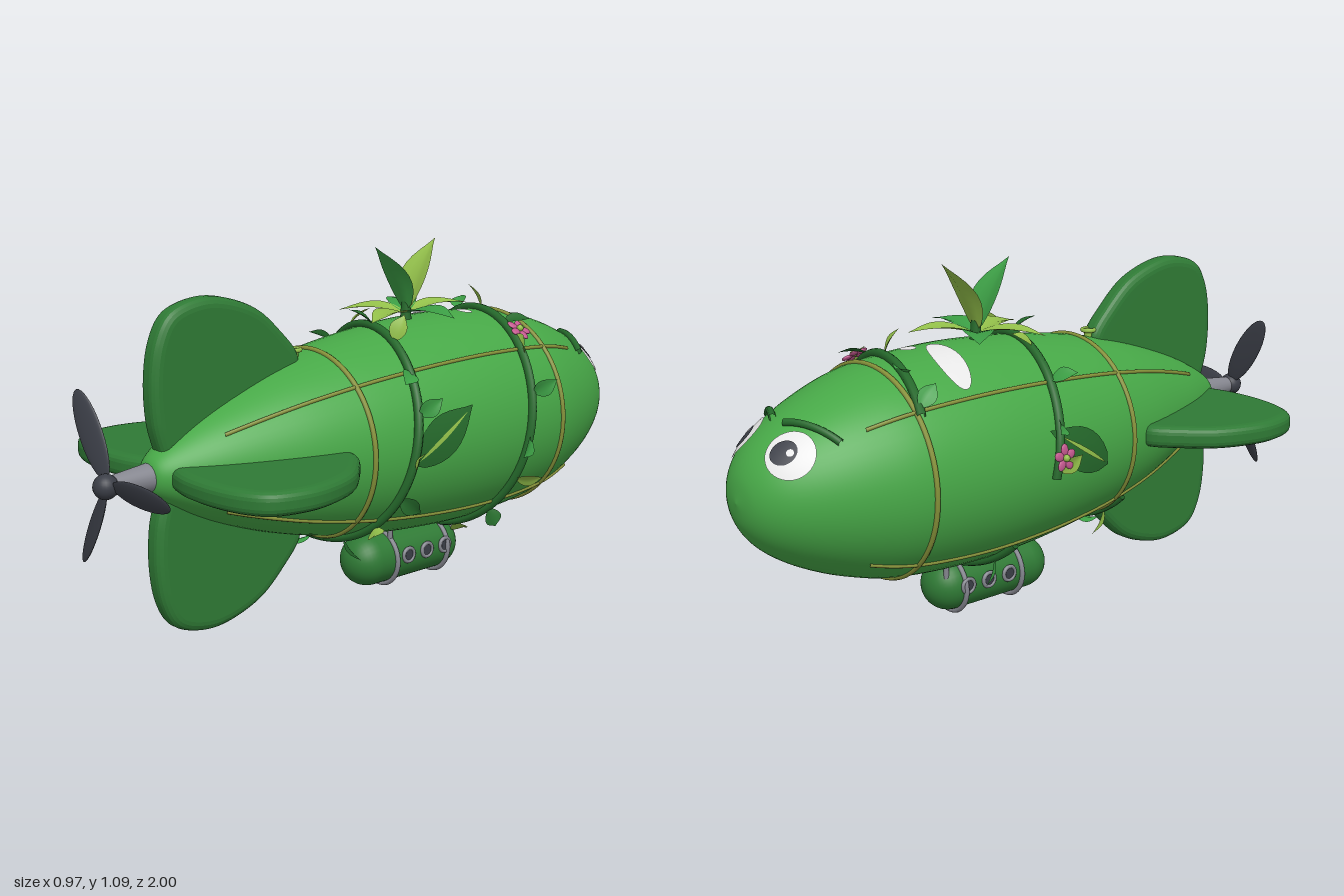
import * as THREE from 'three';

const mat = (name, color, double = false) => {
  const m = new THREE.MeshStandardMaterial({ color });
  m.name = name;
  if (double) m.side = THREE.DoubleSide;
  return m;
};
const M = {
  body: mat('bodyGreen', 0x47a847),
  fin: mat('finGreen', 0x2f7a35),
  vine: mat('vineGreen', 0x25692b, true),
  leaf: mat('leafGreen', 0x3c9f45, true),
  lime: mat('limeGreen', 0x93c04a, true),
  seam: mat('seamOlive', 0x87923a),
  metal: mat('metalGrey', 0x85868f),
  dark: mat('darkGrey', 0x3b3e47, true),
  white: mat('white', 0xf0f0f0, true),
  pink: mat('petalPink', 0xc4588f),
};
const AXIS = 0.52;

// Hull profile: radius against height along the axis (nose at +1)
const profile = new THREE.SplineCurve([
  [0, -0.83], [0.05, -0.82], [0.1, -0.75], [0.165, -0.62], [0.238, -0.42], [0.283, -0.24], [0.307, -0.1],
  [0.326, 0.07], [0.335, 0.25], [0.33, 0.42], [0.313, 0.57], [0.28, 0.69], [0.235, 0.8], [0.183, 0.89],
  [0.13, 0.95], [0.07, 0.986], [0, 1],
].map(([r, s]) => new THREE.Vector2(r, s))).getPoints(96);
profile.forEach((p) => { p.x = Math.max(p.x, 0); });

function radius(z) {
  const s = -z;
  for (let i = 1; i < profile.length; i++) {
    const a = profile[i - 1], b = profile[i];
    if (s >= a.y && s <= b.y) return a.x + (b.x - a.x) * (s - a.y) / (b.y - a.y || 1);
  }
  return 0;
}

// Point on the hull; angle 0 is the top, positive toward +x
const hullPoint = (a, z, lift = 0) => {
  const r = radius(z) + lift;
  return new THREE.Vector3(r * Math.sin(a), AXIS + r * Math.cos(a), z);
};
// Frame on the hull: X round the hull, Y toward the nose, Z outward
function hullFrame(a, z, lift = 0) {
  const slope = (radius(z + 0.01) - radius(z - 0.01)) / 0.02;
  const n = new THREE.Vector3(Math.sin(a), Math.cos(a), -slope).normalize();
  const x = new THREE.Vector3(Math.cos(a), -Math.sin(a), 0);
  const y = new THREE.Vector3().crossVectors(n, x);
  return new THREE.Matrix4().makeBasis(x, y, n).setPosition(hullPoint(a, z).addScaledVector(n, lift));
}

function add(parent, name, geo, material, x = 0, y = 0, z = 0) {
  const m = new THREE.Mesh(geo, material);
  m.name = name;
  m.position.set(x, y, z);
  parent.add(m);
  return m;
}

// Wraps a flat shape onto the hull as a thin painted patch
function decal(parent, name, geo, material, a, z, lift) {
  const f = hullFrame(a, z), n = new THREE.Vector3().setFromMatrixColumn(f, 2);
  const p = geo.attributes.position, v = new THREE.Vector3(), q = new THREE.Vector3();
  for (let i = 0; i < p.count; i++) {
    v.fromBufferAttribute(p, i).applyMatrix4(f);
    let lo = -0.15, hi = 0.05;
    for (let k = 0; k < 18; k++) {
      const mid = (lo + hi) / 2;
      q.copy(v).addScaledVector(n, mid);
      if (Math.hypot(q.x, q.y - AXIS) < radius(q.z)) lo = mid; else hi = mid;
    }
    v.addScaledVector(n, lo + lift);
    p.setXYZ(i, v.x, v.y, v.z);
  }
  geo.computeVertexNormals();
  return add(parent, name, geo, material);
}
const oval = (rx, ry, u = 0, v = 0, turn = 0) =>
  new THREE.RingGeometry(0.001, 1, 32, 5).scale(rx, ry, 1).rotateZ(turn).translate(u, v, 0);

// Pointed leaf from the origin along +Y, slightly folded and arched
function leafGeo(length, width, fold = 0.25) {
  const g = new THREE.PlaneGeometry(1, 1, 4, 10), p = g.attributes.position;
  for (let i = 0; i < p.count; i++) {
    const t = p.getY(i) + 0.5;
    const x = p.getX(i) * width * Math.pow(Math.sin(Math.PI * Math.pow(t, 0.85)), 0.8 + 0.4 * t) || 0;
    p.setXYZ(i, x, t * length, Math.abs(x) * fold + Math.sin(t * Math.PI) * length * fold * 0.25);
  }
  g.computeVertexNormals();
  return g;
}
function leaf(parent, name, material, a, z, lift, spin, tilt, length, width) {
  const m = add(parent, name, leafGeo(length, width), material);
  m.applyMatrix4(hullFrame(a, z, lift)
    .multiply(new THREE.Matrix4().makeRotationZ(spin))
    .multiply(new THREE.Matrix4().makeRotationX(tilt)));
}
function tube(parent, name, material, points, r, segments = 64) {
  return add(parent, name, new THREE.TubeGeometry(new THREE.CatmullRomCurve3(points), segments, r, 8), material);
}
function flower(parent, a, z) {
  const g = new THREE.Group();
  g.name = 'flower';
  for (let i = 0; i < 5; i++) {
    const t = i * Math.PI * 0.4;
    const petal = add(g, 'petal', new THREE.SphereGeometry(1, 12, 8), M.pink, Math.cos(t) * 0.024, Math.sin(t) * 0.024, 0);
    petal.scale.set(0.019, 0.014, 0.006);
    petal.rotation.z = t;
  }
  add(g, 'flowerCentre', new THREE.SphereGeometry(0.011, 12, 8), M.lime, 0, 0, 0.006);
  g.applyMatrix4(hullFrame(a, z, 0.03));
  parent.add(g);
}

export function createModel() {
  const root = new THREE.Group();
  root.name = 'leafyAirship';
  const deg = Math.PI / 180;

  // Hull
  add(root, 'hull', new THREE.LatheGeometry(profile, 64).rotateX(-Math.PI / 2), M.body, 0, AXIS, 0);

  // Seams and hoops
  for (let k = 0; k < 4; k++) {
    const pts = Array.from({ length: 24 }, (_, i) => hullPoint((45 + 90 * k) * deg, -0.7 + 1.34 * i / 23, 0.001));
    tube(root, 'seam', M.seam, pts, 0.006);
  }
  for (const z of [0.23, -0.55]) add(root, 'hoop', new THREE.TorusGeometry(radius(z) + 0.001, 0.008, 8, 72), M.seam, 0, AXIS, z);

  // Four tail fins
  const outline = new THREE.Shape();
  outline.moveTo(0.06, 0.45);
  outline.lineTo(0.24, 0.29);
  outline.splineThru([[0.29, 0.3], [0.35, 0.35], [0.43, 0.44], [0.475, 0.55], [0.485, 0.65], [0.455, 0.75], [0.38, 0.8],
    [0.27, 0.82], [0.15, 0.815], [0.06, 0.79]].map(([x, y]) => new THREE.Vector2(x, y)));
  const finGeo = new THREE.ExtrudeGeometry(outline, {
    depth: 0.022, bevelThickness: 0.024, bevelSize: 0.03, bevelOffset: -0.03, bevelSegments: 4, curveSegments: 36,
  }).translate(0, 0, -0.011).rotateX(Math.PI / 2);
  for (let k = 0; k < 4; k++) add(root, 'fin', finGeo, M.fin, 0, AXIS, 0).rotation.z = k * Math.PI / 2;

  // Valve in front of the top fin
  add(root, 'valve', new THREE.CylinderGeometry(0.014, 0.014, 0.05, 16), M.lime, 0, 0.79, 0.295);
  add(root, 'valveRim', new THREE.TorusGeometry(0.019, 0.007, 8, 20).rotateX(Math.PI / 2), M.lime, 0, 0.812, 0.295);

  // Propeller
  add(root, 'shaft', new THREE.CylinderGeometry(0.028, 0.044, 0.14, 24).rotateX(Math.PI / 2), M.metal, 0, AXIS, 0.87);
  add(root, 'hub', new THREE.SphereGeometry(0.036, 24, 16), M.dark, 0, AXIS, 0.964);
  for (let k = 0; k < 3; k++) {
    const arm = new THREE.Group();
    arm.name = 'propellerBlade';
    const g = new THREE.SphereGeometry(1, 24, 14).rotateZ(Math.PI / 2).scale(0.133, 0.041, 0.008).rotateX(0.35);
    add(arm, 'blade', g, M.dark, 0.152, 0, 0);
    arm.position.set(0, AXIS, 0.955);
    arm.rotation.z = k * Math.PI * 2 / 3;
    root.add(arm);
  }

  // Gondola with straps, struts and portholes
  add(root, 'gondola', new THREE.CapsuleGeometry(0.083, 0.284, 10, 32).rotateX(Math.PI / 2), M.fin, 0, 0.104, -0.135);
  for (const z of [-0.05, -0.27]) add(root, 'gondolaStrap', new THREE.TorusGeometry(0.086, 0.008, 8, 40), M.metal, 0, 0.1, z);
  for (const side of [-1, 1]) {
    for (const z of [-0.05, -0.32])
      add(root, 'strut', new THREE.CylinderGeometry(0.008, 0.008, 0.1, 10), M.metal, side * 0.05, 0.165, z);
    for (const z of [-0.1, -0.18, -0.26]) {
      add(root, 'portholeRim', new THREE.TorusGeometry(0.022, 0.006, 8, 24).rotateY(Math.PI / 2), M.metal, side * 0.083, 0.114, z);
      add(root, 'portholeGlass', new THREE.CylinderGeometry(0.021, 0.021, 0.008, 24).rotateZ(Math.PI / 2), M.dark, side * 0.081, 0.114, z);
    }
  }

  // Face
  for (const side of [-1, 1]) {
    const a = side * 38 * deg, z = -0.89;
    decal(root, 'eyeWhite', oval(0.072, 0.072), M.white, a, z, 0.004);
    decal(root, 'pupil', oval(0.036, 0.04, -side * 0.013, 0.013), M.dark, a, z, 0.007);
    decal(root, 'eyeGlint', oval(0.011, 0.011, -side * 0.013 - 0.012, -0.002), M.white, a, z, 0.009);
    const brow = Array.from({ length: 8 }, (_, i) => hullPoint(side * (8 + 39 * i / 7) * deg, -0.855 + 0.08 * i / 7, 0.007));
    tube(root, 'eyebrow', M.vine, brow, 0.011, 20);
    // Painted leaf on each flank
    const turn = -side * 58 * deg + side * Math.PI / 2;
    decal(root, 'paintedLeaf', leafGeo(0.28, 0.13, 0).translate(0, -0.14, 0).rotateZ(turn), M.vine, side * 83 * deg, -0.02, 0.004);
    decal(root, 'paintedLeafRib', leafGeo(0.23, 0.014, 0).translate(0, -0.12, 0).rotateZ(turn), M.lime, side * 83 * deg, -0.02, 0.007);
  }

  // Painted shine on top
  decal(root, 'shine', oval(0.125, 0.045, 0, 0, -0.2), M.white, -19 * deg, -0.345, 0.004);
  decal(root, 'smallShine', oval(0.028, 0.024), M.white, 5 * deg, -0.39, 0.004);

  // Two winding vines with leaves
  const vines = [{ z0: -0.015, from: -95, to: 225 }, { z0: -0.485, from: -48, to: 225 }];
  const leafMats = [M.lime, M.leaf, M.leaf, M.lime, M.vine];
  vines.forEach(({ z0, from, to }, v) => {
    const zAt = (d) => z0 + 0.22 * d / 180;
    const pts = Array.from({ length: 48 }, (_, i) => {
      const d = from + (to - from) * i / 47;
      return hullPoint(d * deg, zAt(d), 0.006);
    });
    tube(root, 'vine', M.vine, pts, 0.014, 120);
    let i = 0;
    for (let d = from + 4; d < to; d += 23, i++) {
      const up = i % 2 ? 1 : -1;
      leaf(root, 'vineLeaf', leafMats[(i + v) % 5], d * deg, zAt(d), 0.012,
        (up > 0 ? 0.5 : Math.PI - 0.6) * (i % 3 ? 1 : -1), 0.35 + 0.3 * (i % 3), 0.085, 0.055);
    }
  });
  flower(root, 36 * deg, -0.45);
  flower(root, -84 * deg, -0.12);

  // Leaf crown on top
  const crownZ = -0.16;
  [M.leaf, M.lime, M.leaf, M.lime, M.lime].forEach((m, k) =>
    leaf(root, 'crownLeaf', m, 0, crownZ, 0.018, (k * 72 - 90) * deg, 0.04, 0.215, 0.095));
  leaf(root, 'uprightLeaf', M.leaf, 0, crownZ, 0.02, Math.PI, 1.08, 0.25, 0.115);
  leaf(root, 'uprightLeaf', M.lime, 0, crownZ, 0.02, 0, 1.0, 0.255, 0.115);
  add(root, 'crownStem', new THREE.CylinderGeometry(0.014, 0.02, 0.08, 12), M.vine, 0, 0.87, crownZ);

  return root;
}
